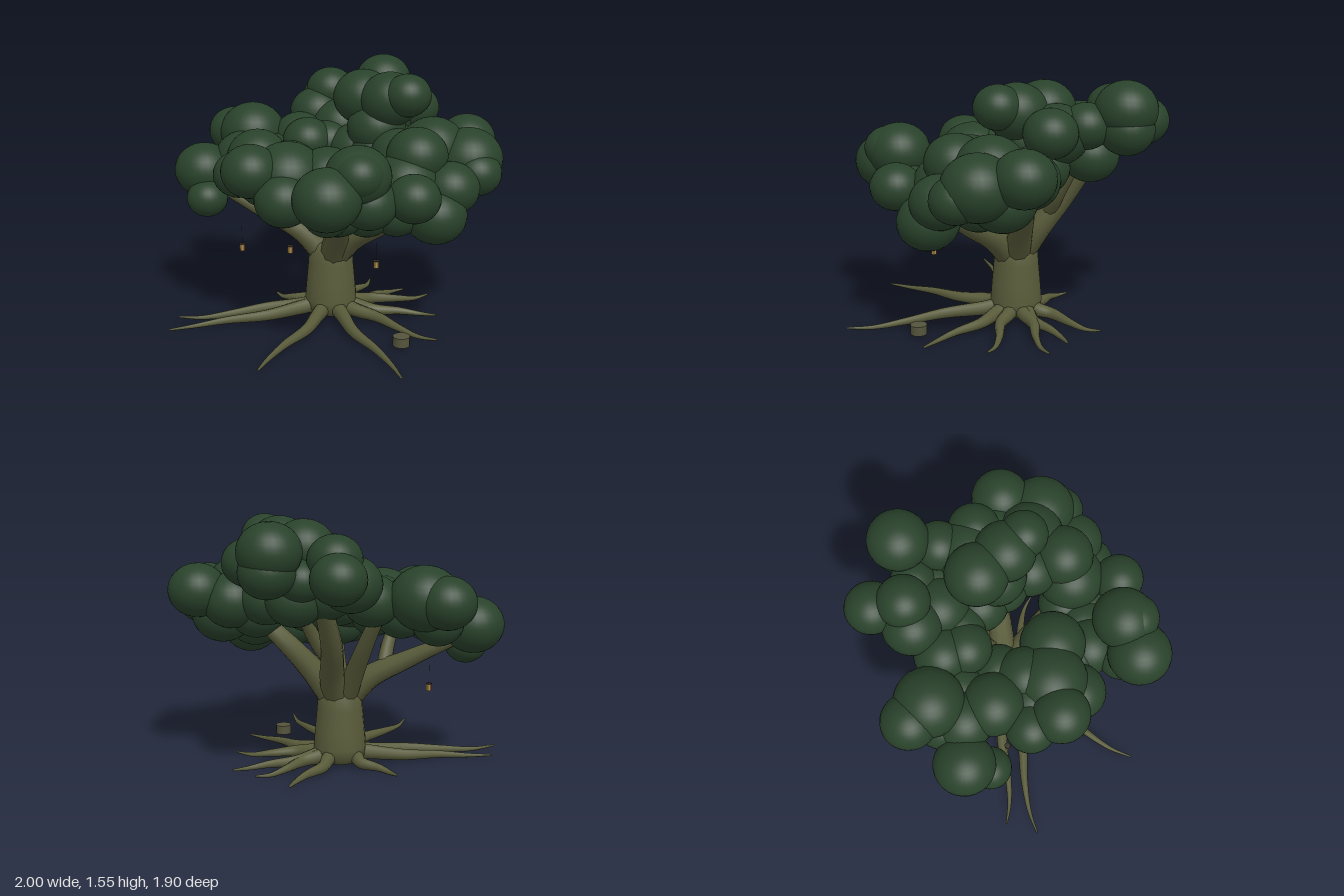
import * as THREE from 'three';

const mat = (name, color) => {
  const m = new THREE.MeshStandardMaterial({ color });
  m.name = name;
  return m;
};

export function createModel() {
  const leaf = mat('leaf green', 0x29422b);
  const bark = mat('bark', 0x595b3a);
  const stumpWood = mat('stump wood', 0x55543c);
  const wood = mat('lantern wood', 0xae8849);
  const dark = mat('dark iron', 0x352f25);

  const tree = new THREE.Group();
  tree.name = 'tree';
  const add = (parent, name, geometry, material, x = 0, y = 0, z = 0) => {
    const mesh = new THREE.Mesh(geometry, material);
    mesh.name = name;
    mesh.position.set(x, y, z);
    parent.add(mesh);
    return mesh;
  };
  const group = (name) => {
    const g = new THREE.Group();
    g.name = name;
    tree.add(g);
    return g;
  };

  // Tube along a smooth path whose radius shrinks from r0 to r1
  const taper = (points, r0, r1, steps = 20, sides = 10) => {
    const curve = new THREE.CatmullRomCurve3(points.map((p) => new THREE.Vector3(...p)));
    const geo = new THREE.TubeGeometry(curve, steps, 1, sides);
    const pos = geo.attributes.position;
    const v = new THREE.Vector3();
    for (let i = 0; i <= steps; i++) {
      const c = curve.getPointAt(i / steps);
      const r = THREE.MathUtils.lerp(r0, r1, i / steps);
      for (let j = 0; j <= sides; j++) {
        const k = i * (sides + 1) + j;
        v.fromBufferAttribute(pos, k).sub(c).multiplyScalar(r).add(c);
        pos.setXYZ(k, v.x, v.y, v.z);
      }
    }
    return geo;
  };

  // Trunk
  const cx = -0.035, cz = -0.035;
  const profile = [[0, 0.02], [0.11, 0.02], [0.155, 0.06], [0.162, 0.12], [0.152, 0.24],
    [0.141, 0.36], [0.137, 0.43], [0.11, 0.49], [0, 0.52]];
  add(tree, 'trunk', new THREE.LatheGeometry(profile.map((p) => new THREE.Vector2(...p)), 18), bark, cx, 0, cz);

  // Roots: wavy tapering tubes running out to these ground points
  const roots = group('roots');
  const tips = [[-0.81, 0.65], [-0.86, 0.45], [-0.06, 0.945], [0.71, 0.73], [0.73, 0.16],
    [0.61, -0.2], [0.45, -0.52], [0.27, -0.55], [0.0, -0.635], [-0.48, -0.17]];
  tips.forEach(([tx, tz], i) => {
    const dx = tx - cx, dz = tz - cz, len = Math.hypot(dx, dz);
    const side = i % 2 ? 1 : -1;
    const at = (t, y, bend) => [
      cx + dx * t - (dz / len) * bend * side, y, cz + dz * t + (dx / len) * bend * side];
    const s = 0.09 / len;
    add(roots, 'root', taper([at(s, 0.08, 0), at(s + 0.12, 0.065, 0.005), at(0.42, 0.05, 0.025),
      at(0.65, 0.036, -0.01), at(0.85, 0.02, -0.02), at(1, 0.024, 0)], 0.05, 0.006, 24, 9), bark);
  });

  // Limbs and the smaller branches that fork from them
  const limbs = group('limbs');
  const limb = (name, r0, r1, ...pts) => add(limbs, name, taper(pts, r0, r1), bark);
  limb('rightLimb', 0.09, 0.035, [-0.04, 0.38, -0.02], [-0.2, 0.55, 0.03], [-0.42, 0.67, 0.09], [-0.72, 0.82, 0.15]);
  limb('rightFork', 0.05, 0.03, [-0.29, 0.6, 0.05], [-0.28, 0.72, 0.12], [-0.3, 0.95, 0.25]);
  limb('leftLimb', 0.09, 0.035, [-0.02, 0.38, -0.02], [0.14, 0.54, 0.02], [0.34, 0.66, 0.07], [0.6, 0.82, 0.12]);
  limb('frontLimb', 0.09, 0.035, [-0.02, 0.38, -0.01], [0.06, 0.55, 0.1], [0.14, 0.7, 0.25], [0.26, 0.92, 0.52]);
  limb('backLimb', 0.09, 0.045, [-0.03, 0.38, -0.04], [-0.05, 0.58, -0.17], [-0.12, 0.8, -0.32], [-0.16, 1.15, -0.55]);
  limb('backFork', 0.05, 0.03, [-0.08, 0.68, -0.23], [-0.02, 0.82, -0.32], [0.02, 1.08, -0.48]);
  limb('backLeftLimb', 0.09, 0.04, [-0.02, 0.38, -0.04], [0.1, 0.6, -0.14], [0.25, 0.8, -0.24], [0.55, 1.05, -0.3]);
  limb('backRightLimb', 0.07, 0.035, [-0.06, 0.38, -0.04], [-0.17, 0.6, -0.12], [-0.28, 0.8, -0.2], [-0.42, 1.05, -0.28]);

  // Foliage: overlapping, slightly flattened balls [x, y, z, radius] clustered on each limb
  const foliage = {
    rightFoliage: [[-0.815, 0.91, 0.15, 0.182], [-0.73, 0.765, 0.27, 0.125], [-0.79, 1.09, -0.22, 0.165],
      [-0.64, 1.1, -0.18, 0.205], [-0.6, 0.98, 0.02, 0.18], [-0.45, 1.02, 0.13, 0.185],
      [-0.68, 0.95, -0.08, 0.15], [-0.35, 1.08, -0.27, 0.165], [-0.23, 0.95, 0.04, 0.15], [-0.25, 1.08, -0.17, 0.155],
      [-0.46, 0.98, -0.1, 0.15]],
    frontFoliage: [[-0.31, 1.03, 0.5, 0.17], [-0.45, 0.97, 0.38, 0.15], [-0.15, 0.98, 0.34, 0.22],
      [-0.1, 0.88, 0.5, 0.17], [0.06, 0.97, 0.24, 0.195], [0.1, 0.83, 0.36, 0.16], [-0.3, 0.93, 0.3, 0.18],
      [-0.2, 1.0, 0.2, 0.17], [0.1, 0.83, 0.25, 0.15]],
    frontLeftFoliage: [[0.26, 0.98, 0.715, 0.19], [0.37, 1.08, 0.54, 0.185], [0.4, 1.1, 0.6, 0.14],
      [0.22, 0.86, 0.62, 0.13], [0.42, 0.92, 0.5, 0.16], [0.2, 0.84, 0.42, 0.17], [0.33, 0.8, 0.3, 0.15]],
    leftFoliage: [[0.69, 0.78, 0.13, 0.18], [0.64, 0.94, 0.38, 0.15], [0.5, 0.95, 0.12, 0.2],
      [0.54, 1.1, 0.04, 0.18], [0.48, 0.8, 0.22, 0.15], [0.38, 0.82, 0.14, 0.15], [0.74, 0.92, 0.02, 0.17],
      [0.52, 0.87, -0.1, 0.17]],
    backLeftFoliage: [[0.69, 1.1, -0.48, 0.175], [0.77, 1.04, -0.24, 0.205], [0.85, 0.98, -0.15, 0.145],
      [0.56, 1.1, -0.2, 0.2], [0.5, 1.04, -0.4, 0.18], [0.62, 0.94, -0.31, 0.19], [0.38, 1.06, -0.1, 0.17],
      [0.4, 0.96, -0.28, 0.17]],
    crownFoliage: [[0.08, 1.36, -0.28, 0.185], [0.28, 1.37, -0.21, 0.18], [0.41, 1.41, -0.16, 0.14],
      [0.35, 1.28, -0.46, 0.155], [0.22, 1.25, -0.43, 0.19], [0.19, 1.19, -0.22, 0.18], [0.15, 1.3, -0.58, 0.145],
      [0.05, 1.03, -0.26, 0.18], [0.28, 1.06, -0.36, 0.17], [0.2, 1.04, -0.19, 0.16]],
    backFoliage: [[0.03, 1.39, -0.77, 0.18], [0.04, 1.28, -0.78, 0.16], [-0.36, 1.26, -0.72, 0.155],
      [-0.26, 1.34, -0.56, 0.155], [-0.32, 1.2, -0.48, 0.175], [-0.13, 1.14, -0.42, 0.18],
      [0.0, 1.1, -0.54, 0.17], [-0.08, 1.22, -0.62, 0.13], [-0.15, 1.06, -0.27, 0.15]],
  };
  const ball = new THREE.SphereGeometry(1, 28, 18);
  for (const [name, balls] of Object.entries(foliage)) {
    const cluster = group(name);
    for (const [x, y, z, r] of balls) add(cluster, 'leafBall', ball, leaf, x, y, z).scale.set(r * 1.01, r * 0.92, r * 1.01);
  }

  // Small faceted lanterns hanging on thin cords
  const lanternBody = new THREE.CylinderGeometry(0.017, 0.016, 0.042, 6).toNonIndexed();
  lanternBody.computeVertexNormals();
  for (const [x, y, z] of [[-0.505, 0.47, 0.255], [-0.12, 0.545, 0.378], [0.39, 0.495, 0.295]]) {
    const lantern = group('lantern');
    lantern.position.set(x, y, z);
    add(lantern, 'lanternBody', lanternBody, wood);
    add(lantern, 'lanternCap', new THREE.CylinderGeometry(0.019, 0.019, 0.006, 10), dark, 0, 0.022, 0);
    add(lantern, 'cord', new THREE.CylinderGeometry(0.001, 0.001, 0.12, 5), dark, 0, 0.08, 0);
  }

  // Low stump seat beside the roots
  add(tree, 'stump', new THREE.CylinderGeometry(0.05, 0.05, 0.055, 16), stumpWood, 0.556, 0.048, 0.305);
  add(tree, 'stumpRim', new THREE.CylinderGeometry(0.051, 0.051, 0.005, 16), stumpWood, 0.556, 0.076, 0.305);

  return tree;
}
